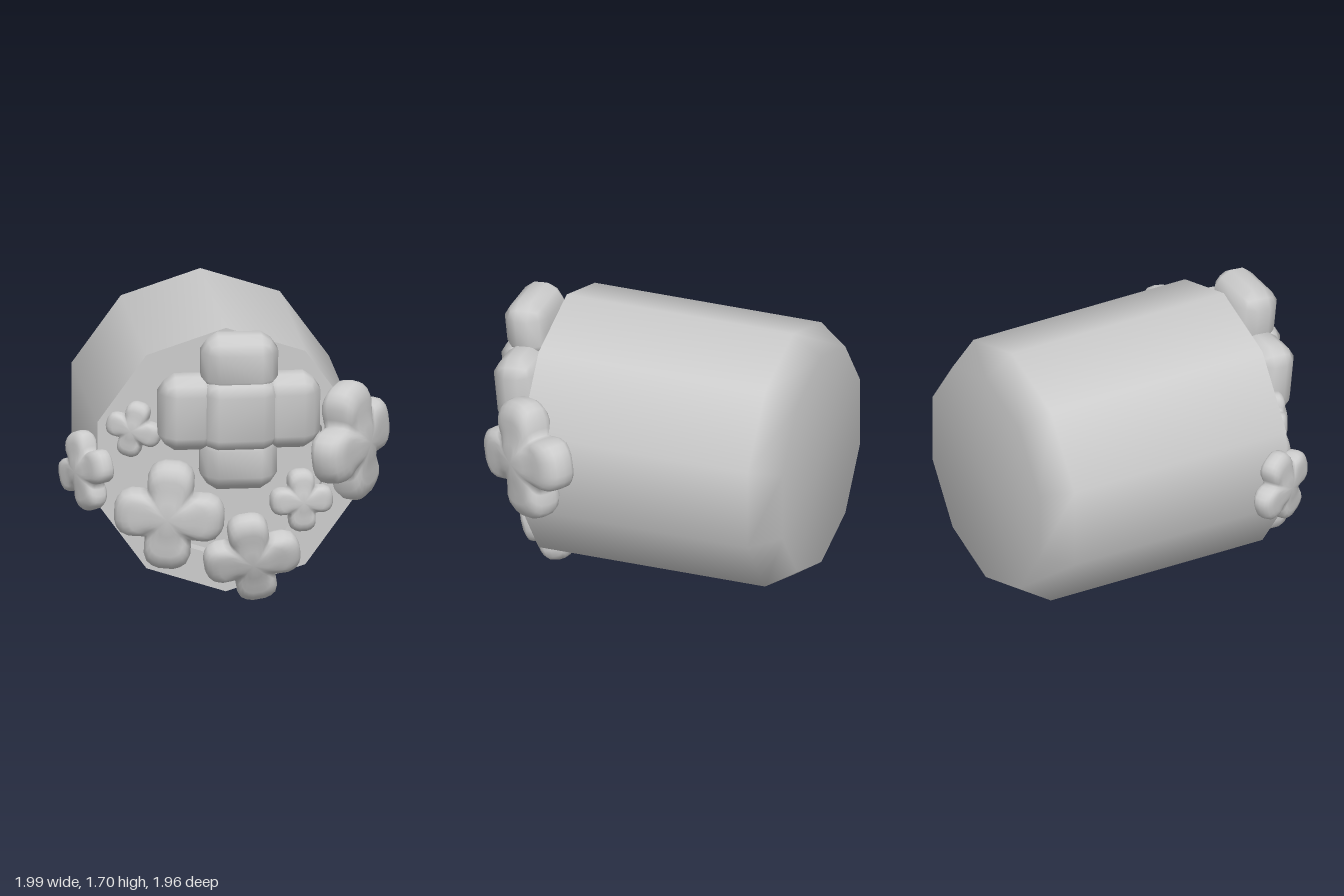
import * as THREE from 'three';
import { mergeVertices } from 'three/addons/utils/BufferGeometryUtils.js';

const material = new THREE.MeshStandardMaterial({ color: 0xcccccc });

// Weld shared corners so the whole surface shades smoothly
function smooth(geometry) {
  geometry.deleteAttribute('normal');
  geometry.deleteAttribute('uv');
  const welded = mergeVertices(geometry, 1e-4);
  welded.computeVertexNormals();
  return welded;
}

function reshape(geometry, rule) {
  const pos = geometry.attributes.position;
  const v = new THREE.Vector3();
  for (let i = 0; i < pos.count; i++) {
    rule(v.fromBufferAttribute(pos, i));
    pos.setXYZ(i, v.x, v.y, v.z);
  }
  return smooth(geometry);
}

// Ten-sided turned part along z; points are [radius, z]
function turned(name, points) {
  const geometry = new THREE.LatheGeometry(points.map(p => new THREE.Vector2(...p)), 10);
  geometry.rotateX(Math.PI / 2);
  const mesh = new THREE.Mesh(geometry, material);
  mesh.name = name;
  return mesh;
}

// Pillow-like block with softened edges and corners
function softBlock(w, h, d, bevel) {
  const half = [w / 2, h / 2, d / 2];
  return reshape(new THREE.BoxGeometry(w, h, d, 3, 3, 3), v => {
    const c = v.toArray();
    const outer = c.map((a, i) => Math.abs(a) > half[i] * 0.9);
    const pull = [0, 0, 0.4, 0.55][outer.filter(Boolean).length] * bevel;
    v.fromArray(c.map((a, i) => Math.sign(a) * (half[i] - (outer[i] ? pull : bevel))));
  });
}

// Outline radius of a plus with chamfered arm tips
function plusRadius(angle) {
  const quarter = Math.PI / 2;
  const t = Math.abs(angle - Math.round(angle / quarter) * quarter);
  const c = Math.cos(t), s = Math.sin(t);
  return Math.min(1 / c, 0.42 / Math.max(s, 1e-6), 0.23 / (0.2 * c + 0.15 * s));
}

// Rounded four-lobed growth, unit arm length and unit half thickness
function lobedGeometry() {
  const ball = new THREE.SphereGeometry(1, 48, 14);
  ball.rotateX(Math.PI / 2);
  return reshape(ball, v => {
    const angle = Math.atan2(v.y, v.x);
    const r = plusRadius(angle) * Math.pow(Math.hypot(v.x, v.y), 0.75);
    const dip = 1 - 0.15 * Math.exp(-(((r - 0.48) / 0.15) ** 2));
    v.set(r * Math.cos(angle), r * Math.sin(angle),
      Math.sign(v.z) * Math.pow(Math.abs(v.z), 0.65) * dip);
  });
}

// Place an object so its local z follows a direction, then roll it
function aim(object, position, normal, roll) {
  object.position.set(...position);
  object.lookAt(new THREE.Vector3(...normal).add(object.position));
  object.rotateZ(roll);
}

export function createModel() {
  const model = new THREE.Group();
  model.name = 'barrelWithGrowths';

  // Barrel with a bevelled back and a shallow recess in front
  const barrel = new THREE.Group();
  barrel.name = 'barrel';
  barrel.position.set(-0.015, 0.875, 0);
  barrel.add(
    turned('barrelShell', [[0, -0.98], [0.69, -0.98], [0.81, -0.8], [0.81, 0.64]]),
    turned('frontRim', [[0.81, 0.64], [0.605, 0.64]]),
    turned('recessWall', [[0.605, 0.64], [0.605, 0.52]]),
    turned('recessFloor', [[0.605, 0.52], [0, 0.52]]),
  );
  model.add(barrel);

  // Large growth: a centre block with four arms
  const large = new THREE.Group();
  large.name = 'largeGrowth';
  const centre = new THREE.Mesh(softBlock(0.47, 0.47, 0.34, 0.1), material);
  centre.name = 'largeGrowthCentre';
  large.add(centre);
  const armGeometry = softBlock(0.365, 0.46, 0.28, 0.1);
  armGeometry.translate(0.302, 0, -0.015);
  for (let i = 0; i < 4; i++) {
    const arm = new THREE.Mesh(armGeometry, material);
    arm.name = 'largeGrowthArm';
    arm.rotation.z = i * Math.PI / 2;
    large.add(arm);
  }
  aim(large, [0.045, 1.215, 0.8], [0, -0.1, 1], 0);
  model.add(large);

  // Smaller growths: name, position, facing, roll, arm length, half thickness
  const lobed = lobedGeometry();
  const growths = [
    ['lowerRightGrowth', [-0.365, 0.575, 0.74], [-0.2, -0.05, 1], -0.06, 0.33, 0.14],
    ['bottomGrowth', [0.135, 0.29, 0.69], [0, -0.35, 1], 0.17, 0.29, 0.11],
    ['lowerLeftGrowth', [0.43, 0.63, 0.69], [0.1, 0, 1], 0.03, 0.19, 0.085],
    ['upperRightGrowth', [-0.57, 1.09, 0.68], [-0.4, 0, 1], -0.25, 0.17, 0.075],
    ['rightSideGrowth', [-0.845, 0.815, 0.57], [-0.88, 0, 0.48], 0.35, 0.24, 0.085],
    ['leftSideGrowth', [0.735, 0.965, 0.6], [0.83, 0, 0.55], 0.22, 0.37, 0.14],
  ];
  for (const [name, position, normal, roll, arm, thickness] of growths) {
    const growth = new THREE.Mesh(lobed, material);
    growth.name = name;
    growth.scale.set(arm, arm, thickness);
    aim(growth, position, normal, roll);
    model.add(growth);
  }
  return model;
}
